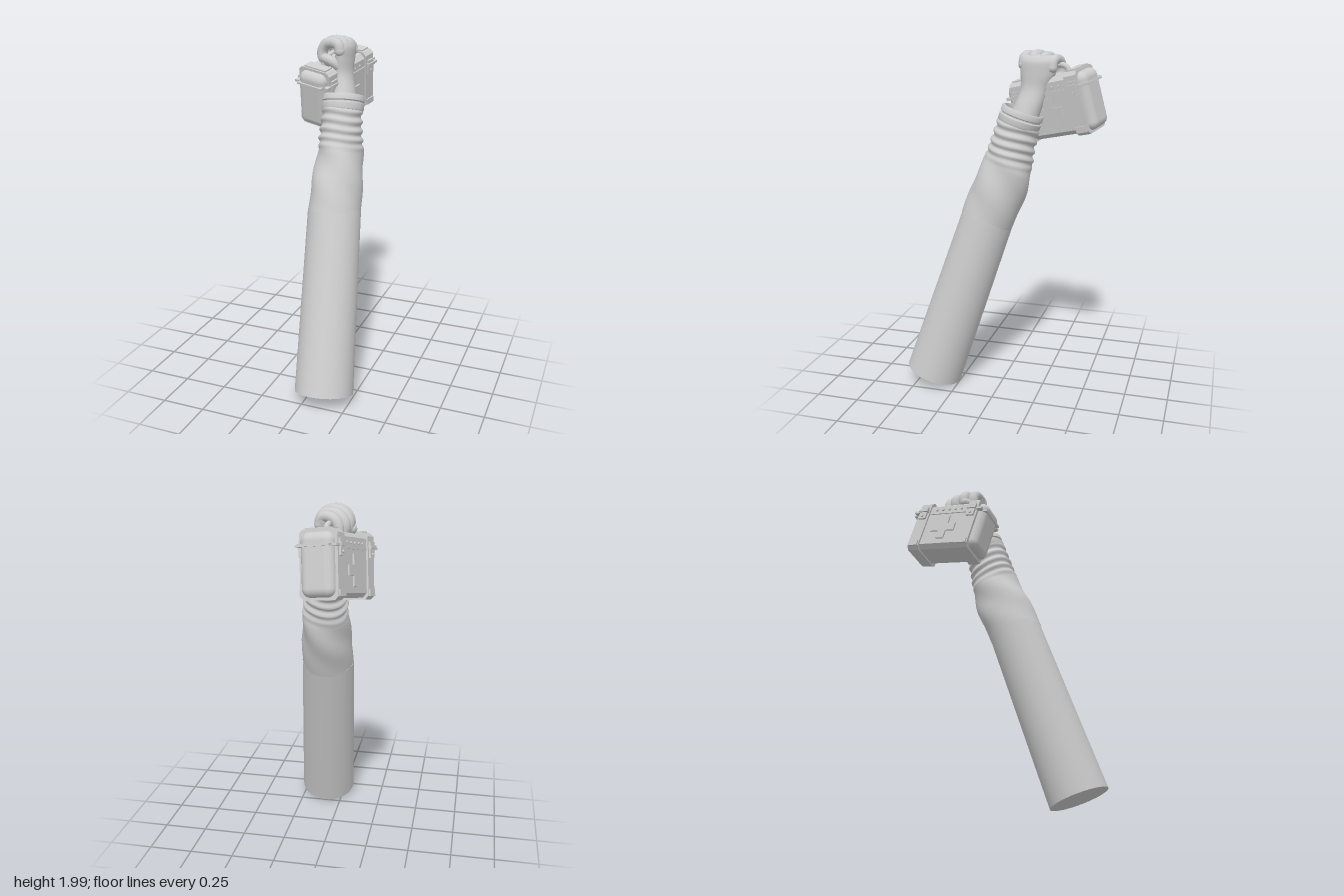
import * as THREE from 'three';
import { RoundedBoxGeometry } from 'three/addons/geometries/RoundedBoxGeometry.js';
import { toCreasedNormals } from 'three/addons/utils/BufferGeometryUtils.js';

const V = (x, y, z) => new THREE.Vector3(x, y, z);

export function createModel() {
  const model = new THREE.Group();
  model.name = 'armHoldingCase';
  const grey = new THREE.MeshStandardMaterial({ color: 0xcccccc, side: THREE.DoubleSide });
  grey.name = 'plain grey';

  const add = (parent, name, geometry, x = 0, y = 0, z = 0) => {
    const mesh = new THREE.Mesh(geometry, grey);
    mesh.name = name;
    mesh.position.set(x, y, z);
    parent.add(mesh);
    return mesh;
  };

  // Skin through elliptical sections [x, y, z, rx, rz] lying across the given axis
  const loft = (sections, axis, steps, sides, ripple = () => 0) => {
    const path = new THREE.CatmullRomCurve3(sections.map(s => V(s[0], s[1], s[2])));
    const radii = new THREE.CatmullRomCurve3(sections.map(s => V(s[3], s[4], 0)));
    const tilt = new THREE.Quaternion().setFromUnitVectors(V(0, 1, 0), axis);
    const positions = [], index = [];
    for (let i = 0; i <= steps; i++) {
      const t = i / steps, c = path.getPoint(t), r = radii.getPoint(t);
      for (let j = 0; j < sides; j++) {
        const a = (j / sides) * Math.PI * 2, k = ripple(t, a);
        const p = V(Math.sin(a) * (r.x + k), 0, Math.cos(a) * (r.y + k)).applyQuaternion(tilt).add(c);
        positions.push(p.x, p.y, p.z);
        if (i === steps) continue;
        const q = i * sides + j, n = i * sides + ((j + 1) % sides);
        index.push(q, n, n + sides, q, n + sides, q + sides);
      }
    }
    const g = new THREE.BufferGeometry();
    g.setAttribute('position', new THREE.Float32BufferAttribute(positions, 3));
    g.setIndex(index);
    g.computeVertexNormals();
    return g;
  };

  // Straight lower sleeve
  const low = V(0.103, 0.058, 0.41), high = V(0.04, 1.05, 0.08);
  const axis = high.clone().sub(low).normalize();
  const sleeve = add(model, 'straightSleeve', toCreasedNormals(
    new THREE.CylinderGeometry(0.152, 0.168, high.distanceTo(low), 32), 0.7));
  sleeve.position.copy(low).lerp(high, 0.5);
  sleeve.quaternion.setFromUnitVectors(V(0, 1, 0), axis);

  // Wrinkled upper sleeve: diagonal folds below, rings near the cuff
  const folds = (t, a) => {
    const ring = THREE.MathUtils.smoothstep(t, 0.5, 0.7);
    return 0.007 * ring * Math.sin(t * 68 + Math.sin(a * 2))
      + 0.006 * (1 - ring) * Math.sin(t * 3.14) * Math.sin(t * 14 + a * 3);
  };
  add(model, 'wrinkledSleeve', loft([
    [0.041, 1.035, 0.086, 0.15, 0.154],
    [0.036, 1.19, 0.026, 0.145, 0.157],
    [0.032, 1.34, -0.032, 0.131, 0.143],
    [0.025, 1.47, -0.062, 0.119, 0.127],
    [0.02, 1.61, -0.1, 0.108, 0.118]], axis, 64, 48, folds));

  // Double-banded open cuff
  const cuffProfile = [[0.106, -0.045], [0.118, -0.045], [0.122, -0.035], [0.122, -0.008], [0.115, -0.003],
    [0.115, 0.003], [0.122, 0.008], [0.122, 0.034], [0.117, 0.042], [0.107, 0.042], [0.102, 0.03], [0.1, -0.045]];
  const cuff = add(model, 'cuff', toCreasedNormals(
    new THREE.LatheGeometry(cuffProfile.map(p => new THREE.Vector2(...p)), 40), 0.6), 0.019, 1.632, -0.107);
  cuff.quaternion.setFromUnitVectors(V(0, 1, 0), axis);

  // Wrist and back of the hand
  const hand = new THREE.Group();
  hand.name = 'fist';
  model.add(hand);
  add(hand, 'wristAndPalm', loft([
    [0.018, 1.58, -0.1, 0.088, 0.092],
    [0.008, 1.7, -0.148, 0.066, 0.08],
    [-0.004, 1.79, -0.178, 0.053, 0.077],
    [-0.002, 1.87, -0.197, 0.05, 0.098],
    [0, 1.935, -0.203, 0.047, 0.108],
    [-0.004, 1.967, -0.203, 0.032, 0.095],
    [-0.006, 1.976, -0.203, 0.001, 0.001]], V(0, 1, 0), 32, 28));

  // Rounded digits swept along a curve
  const digit = (name, points, radius) => {
    const path = new THREE.CatmullRomCurve3(points);
    add(hand, name, new THREE.TubeGeometry(path, 24, radius, 12));
    for (const end of [points[0], points[points.length - 1]]) {
      add(hand, name + 'End', new THREE.SphereGeometry(radius, 14, 10), end.x, end.y, end.z);
    }
  };
  // Each finger: knuckle x and z, top height, reach, radius
  [[-0.004, -0.116, 1.965, 0.112, 0.031], [0.006, -0.17, 1.968, 0.125, 0.032],
    [0.014, -0.226, 1.96, 0.122, 0.031], [0.014, -0.28, 1.95, 0.1, 0.028]].forEach(([x, z, y, reach, r], i) => {
    const at = (f, dy) => V(x - reach * f, y + dy, z - reach * f * 0.3);
    digit('finger' + (i + 1), [at(0, -0.045), at(0.08, -0.012), at(0.4, 0), at(0.82, -0.012),
      at(1.05, -0.05), at(1, -0.092), at(0.65, -0.108)], r);
  });
  digit('thumb', [V(-0.005, 1.82, -0.135), V(-0.05, 1.86, -0.115), V(-0.1, 1.872, -0.135),
    V(-0.142, 1.875, -0.2)], 0.028);

  // Carried case: local x is width, y is height, z is length
  const kit = new THREE.Group();
  kit.name = 'case';
  const up = V(0.07, 0.965, 0.25).normalize();
  const wide = up.clone().cross(V(-0.29, -0.25, 0.92)).normalize();
  const along = wide.clone().cross(up);
  kit.quaternion.setFromRotationMatrix(new THREE.Matrix4().makeBasis(wide, up, along));
  kit.position.set(-0.085, 1.695, -0.29);
  model.add(kit);

  const box = (name, w, h, d, x, y, z) => add(kit, name, new THREE.BoxGeometry(w, h, d), x, y, z);
  // Prism with cut corners, centred on z
  const chamfered = (name, w, h, d, cut, z) => {
    const a = w / 2, b = h / 2;
    const shape = new THREE.Shape([[a - cut, -b], [a, cut - b], [a, b - cut], [a - cut, b],
      [cut - a, b], [-a, b - cut], [-a, cut - b], [cut - a, -b]].map(p => new THREE.Vector2(...p)));
    const g = new THREE.ExtrudeGeometry(shape, { depth: d, bevelEnabled: false });
    return add(kit, name, g.translate(0, 0, -d / 2), 0, 0, z);
  };

  add(kit, 'caseBody', new RoundedBoxGeometry(0.186, 0.325, 0.51, 5, 0.045));
  chamfered('middleShell', 0.196, 0.332, 0.28, 0.025, 0);
  for (const e of [-1, 1]) {
    chamfered('endBand', 0.216, 0.352, 0.075, 0.02, e * 0.175);
    box('bandTopPlate', 0.15, 0.012, 0.06, 0, 0.178, e * 0.175);
    box('endRim', 0.17, 0.012, 0.03, 0, 0.094, e * 0.25);
    for (const s of [-1, 1]) {
      box('claspPlate', 0.014, 0.085, 0.05, s * 0.112, 0.085, e * 0.175);
      box('claspTab', 0.022, 0.018, 0.062, s * 0.116, 0.1, e * 0.175);
      box('lowerBracket', 0.012, 0.035, 0.062, s * 0.11, -0.14, e * 0.175);
      box('rimCorner', 0.026, 0.014, 0.085, s * 0.104, 0.094, e * 0.2);
      const stud = add(kit, 'claspStud', new THREE.CylinderGeometry(0.008, 0.008, 0.01, 10), s * 0.121, 0.062, e * 0.175);
      stud.rotation.z = Math.PI / 2;
    }
  }
  for (const s of [-1, 1]) {
    // Raised cross, stud row and lid hinge strip on each broad side
    box('crossUpright', 0.014, 0.165, 0.054, s * 0.1, -0.025, 0);
    for (const e of [-1, 1]) box('crossArm', 0.014, 0.054, 0.056, s * 0.1, -0.025, e * 0.055);
    box('lidStrip', 0.01, 0.012, 0.27, s * 0.099, 0.086, 0);
    for (let i = -2; i <= 2; i++) {
      const stud = add(kit, 'lidStud', new THREE.CylinderGeometry(0.008, 0.008, 0.012, 10), s * 0.1, 0.112, i * 0.045);
      stud.rotation.z = Math.PI / 2;
    }
  }

  // Carrying handle passing through the fist
  const grip = new THREE.CatmullRomCurve3([V(0, 0.155, -0.125), V(0, 0.192, -0.118), V(0, 0.212, -0.09),
    V(0, 0.215, 0), V(0, 0.212, 0.09), V(0, 0.192, 0.118), V(0, 0.155, 0.125)]);
  add(kit, 'handle', new THREE.TubeGeometry(grip, 36, 0.015, 10));

  return model;
}
